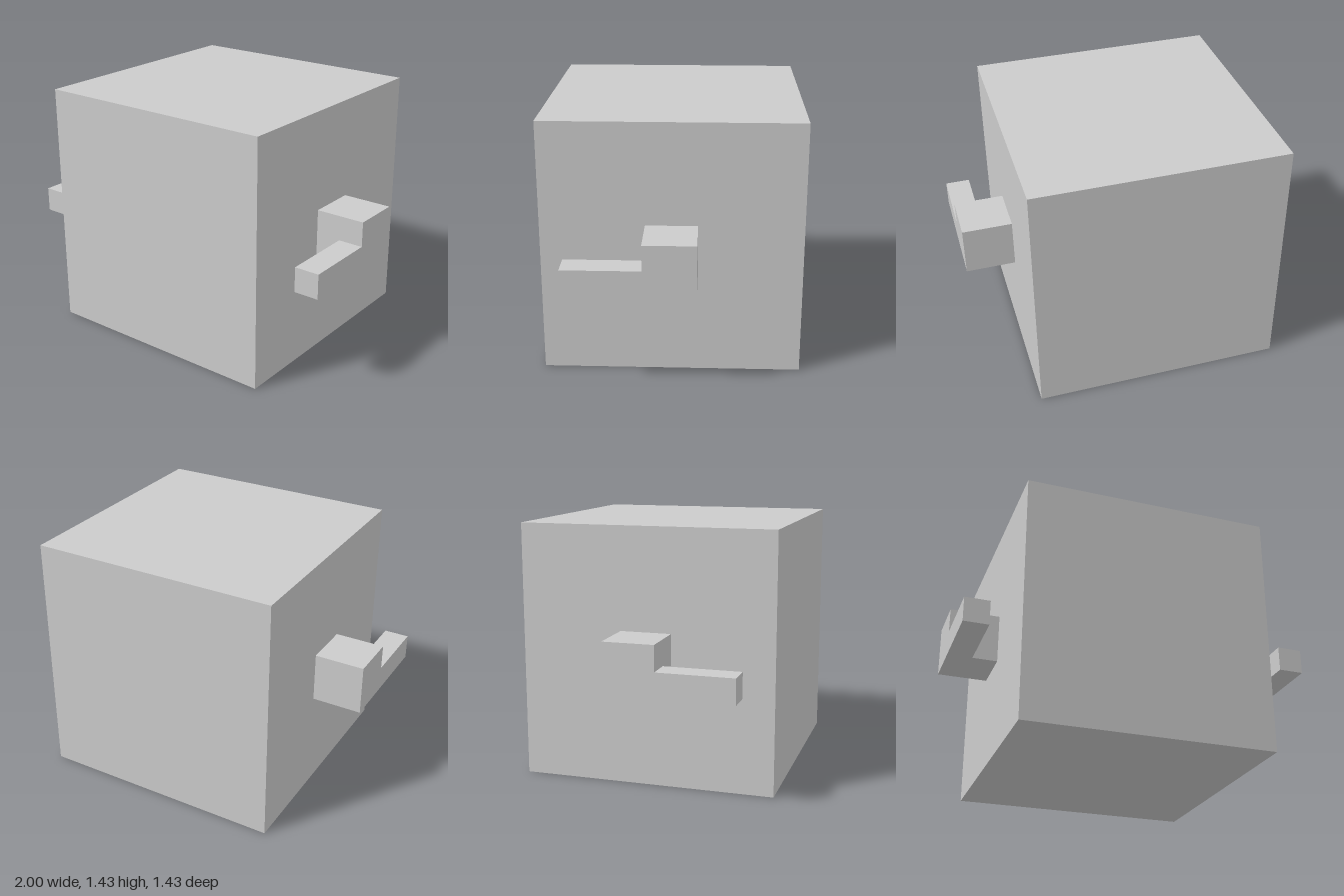
import * as THREE from 'three';

const U = 1 / 7; // modular unit: the whole model is 14 units wide

const material = new THREE.MeshStandardMaterial({ color: 0xcccccc, flatShading: true });

// Box given by its size and centre in modular units
function box(name, [w, h, d], [x, y, z]) {
  const mesh = new THREE.Mesh(new THREE.BoxGeometry(w * U, h * U, d * U), material);
  mesh.name = name;
  mesh.position.set(x * U, y * U, z * U);
  return mesh;
}

export function createModel() {
  const model = new THREE.Group();
  model.name = 'cubeWithArms';

  // Large cubic body standing on the ground
  model.add(box('body', [10, 10, 10], [0, 5, 0]));

  // Mirrored arms: a block on each side with a thin rod reaching forward
  for (const [label, side] of [['left', 1], ['right', -1]]) {
    const arm = new THREE.Group();
    arm.name = `${label}Arm`;
    arm.add(
      box(`${label}Shoulder`, [2, 2, 2], [side * 6, 5, 0]),
      box(`${label}Forearm`, [1, 1, 3], [side * 6.5, 4.5, 2.5])
    );
    model.add(arm);
  }

  return model;
}
